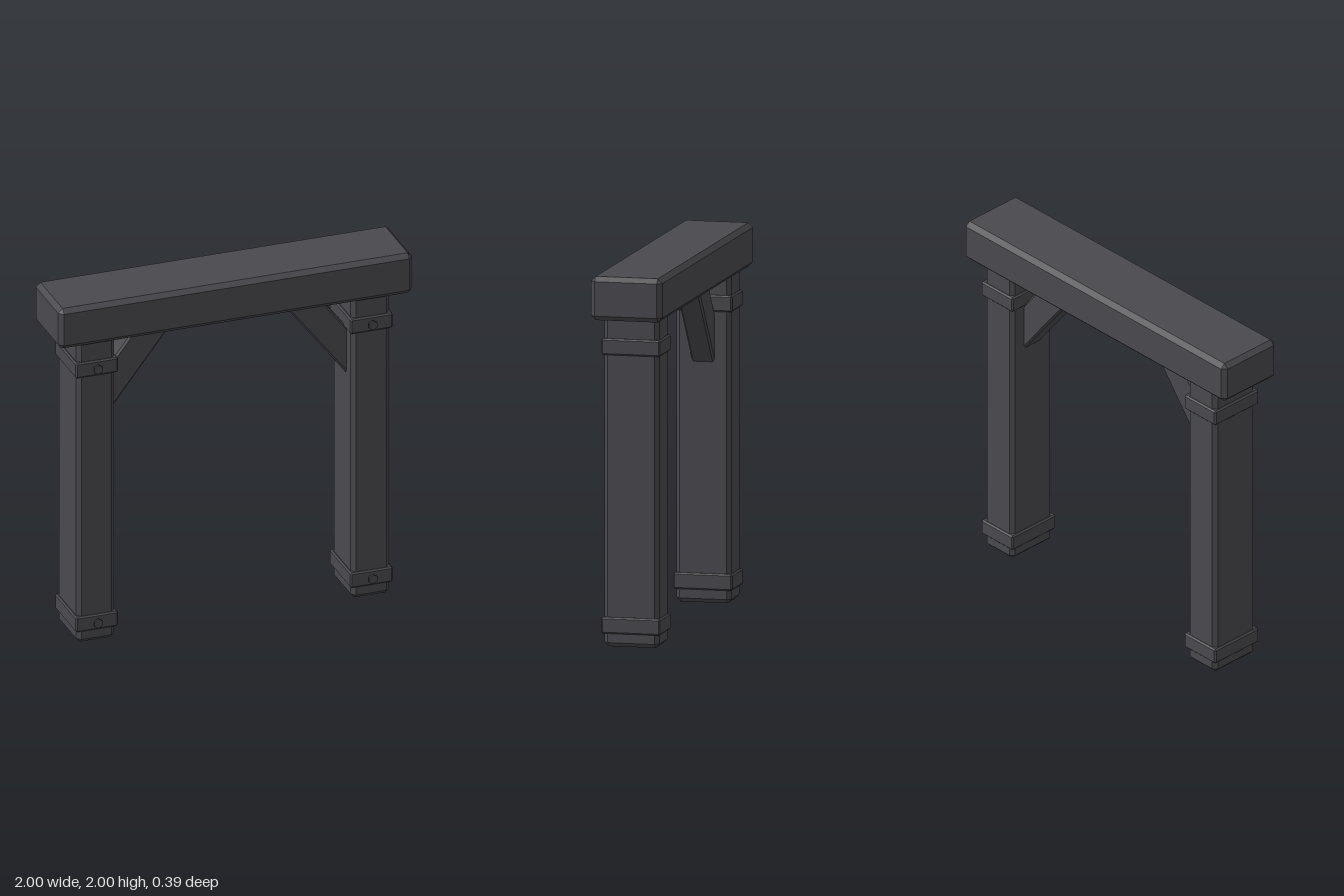
import * as THREE from 'three';
import { ConvexGeometry } from 'three/addons/geometries/ConvexGeometry.js';

// Box of size w, h, d with every edge chamfered by c
function chamferBox(w, h, d, c) {
  const half = [w / 2, h / 2, d / 2];
  const points = [];
  for (const sx of [-1, 1]) for (const sy of [-1, 1]) for (const sz of [-1, 1]) {
    const s = [sx, sy, sz];
    // one point per face meeting at this corner
    for (let face = 0; face < 3; face++) {
      points.push(new THREE.Vector3(...s.map((v, i) => v * (half[i] - (i === face ? 0 : c)))));
    }
  }
  return new ConvexGeometry(points);
}

export function createModel() {
  const darkWood = new THREE.MeshStandardMaterial({ color: 0x4a494e });
  darkWood.name = 'darkWood';

  const model = new THREE.Group();
  model.name = 'timberGateway';

  const add = (parent, name, geometry, x, y, z) => {
    const mesh = new THREE.Mesh(geometry, darkWood);
    mesh.name = name;
    mesh.position.set(x, y, z);
    parent.add(mesh);
    return mesh;
  };

  // Top beam
  add(model, 'beam', chamferBox(2, 0.235, 0.39, 0.025), 0, 1.8825, 0);

  const postGeometry = chamferBox(0.215, 1.8, 0.3, 0.022);
  const bandGeometry = chamferBox(0.24, 0.088, 0.322, 0.008);
  const braceGeometry = chamferBox(0.167, 0.6, 0.125, 0.01);
  const boltGeometry = new THREE.CylinderGeometry(0.027, 0.027, 0.011, 6).toNonIndexed();
  boltGeometry.rotateX(Math.PI / 2);
  boltGeometry.computeVertexNormals();

  for (const side of [-1, 1]) {
    const support = new THREE.Group();
    support.name = side > 0 ? 'leftSupport' : 'rightSupport';
    model.add(support);
    const x = side * 0.776;

    add(support, 'post', postGeometry, x, 0.9, 0);

    // Collars with a hex bolt on the front
    for (const y of [0.115, 1.61]) {
      add(support, 'collar', bandGeometry, x, y, 0);
      add(support, 'bolt', boltGeometry, x, y, 0.178);
    }

    // Diagonal brace running from the post up into the beam
    const brace = add(support, 'brace', braceGeometry, side * 0.588, 1.535, 0);
    brace.rotation.z = side * 0.66;
  }

  return model;
}
